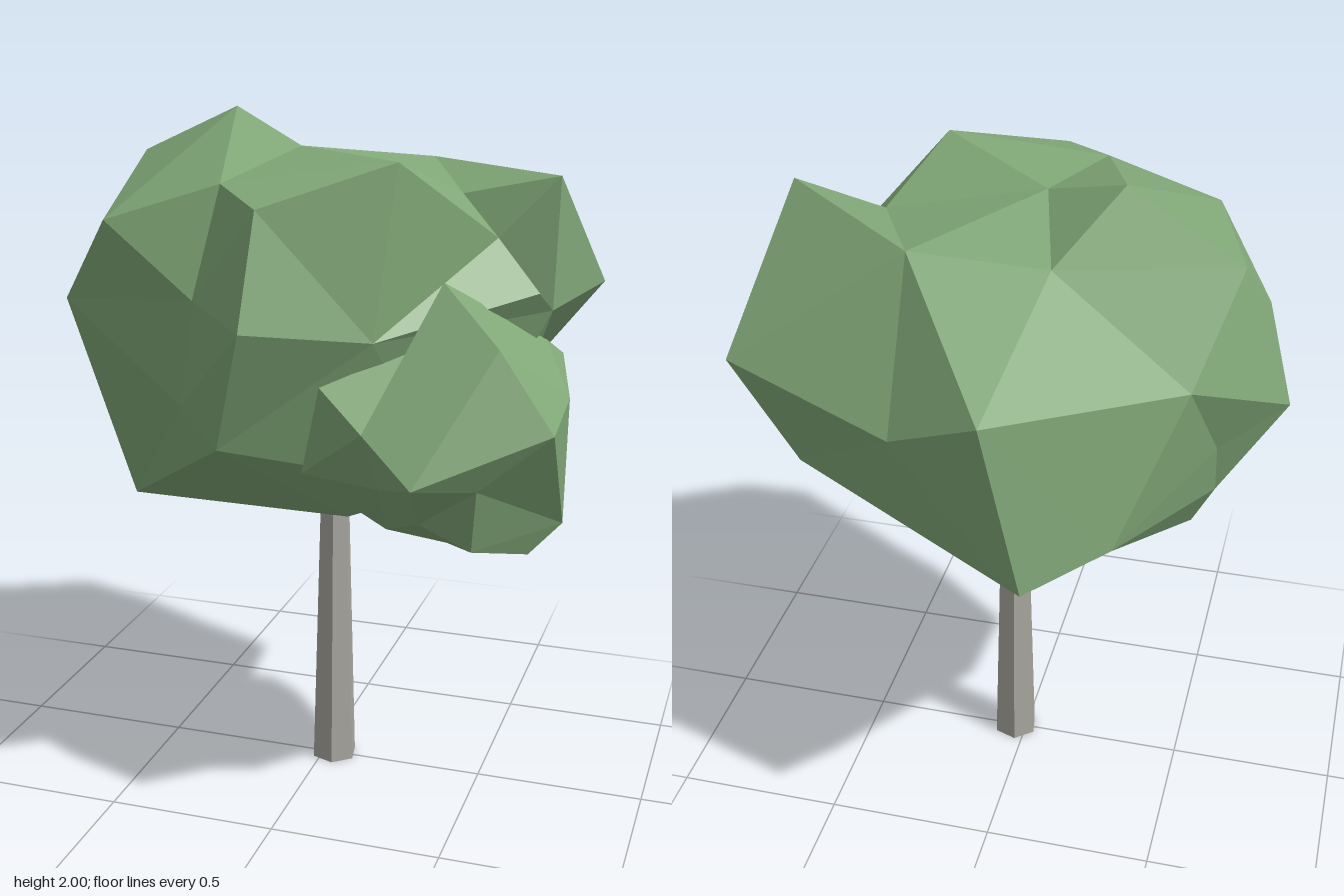
import * as THREE from 'three';
import { ConvexGeometry } from 'three/addons/geometries/ConvexGeometry.js';

// Faceted lump: corners are connected as seen from the centre, so it may have dents.
function lumpGeometry(center, corners) {
  const c = new THREE.Vector3(...center);
  const pts = corners.map(p => new THREE.Vector3(...p));
  const dirs = pts.map(p => p.clone().sub(c).normalize());
  const geo = new ConvexGeometry(dirs);
  const pos = geo.attributes.position;
  const v = new THREE.Vector3();
  for (let i = 0; i < pos.count; i++) {
    v.fromBufferAttribute(pos, i);
    let best = 0;
    dirs.forEach((d, k) => { if (d.dot(v) > dirs[best].dot(v)) best = k; });
    pos.setXYZ(i, pts[best].x, pts[best].y, pts[best].z);
  }
  geo.computeVertexNormals();
  return geo;
}

export function createModel() {
  const tree = new THREE.Group();
  tree.name = 'tree';
  const leaf = new THREE.MeshStandardMaterial({ color: 0x81a878, flatShading: true });
  leaf.name = 'leaf green';
  const bark = new THREE.MeshStandardMaterial({ color: 0xa9a79f, flatShading: true });
  bark.name = 'bark grey';

  const add = (name, geo, mat) => {
    const mesh = new THREE.Mesh(geo, mat);
    mesh.name = name;
    tree.add(mesh);
    return mesh;
  };

  // Tapered six-sided trunk, running up into the crown
  const trunk = add('trunk', new THREE.CylinderGeometry(0.042, 0.0705, 1.0, 6), bark);
  trunk.position.set(0.035, 0.5, 0);
  trunk.rotation.y = Math.PI / 18;

  // Large main crown
  add('mainCrown', lumpGeometry([0, 1.4, 0], [
    // top
    [-0.29, 2.0, -0.08], [-0.05, 1.91, 0.05], [0.32, 1.92, 0.37], [-0.13, 1.82, -0.255],
    [0.25, 1.85, -0.295], [0.42, 1.8, 0.06], [0.69, 1.86, 0.065], [-0.625, 1.85, -0.18],
    // front
    [-0.14, 1.855, 0.45], [0.015, 1.82, 0.615], [0, 1.52, 0.71], [-0.18, 1.565, 0.565],
    [-0.475, 1.745, 0.46], [-0.655, 1.495, 0.34], [-0.235, 1.265, 0.53], [-0.11, 1.17, 0.59],
    [0.27, 1.45, 0.42], [0.53, 1.69, 0.1],
    // sides
    [-0.765, 1.435, -0.13], [-0.63, 1.18, 0.07], [-0.59, 1.34, -0.245], [-0.585, 1.16, -0.17],
    [0.655, 1.55, 0.13], [0.68, 1.49, 0.06], [0.76, 1.495, -0.36], [0.55, 1.225, -0.4],
    // back
    [-0.045, 1.585, -0.69], [0.23, 1.44, -0.575], [-0.16, 1.115, -0.72],
    [-0.535, 1.61, -0.435], [-0.375, 1.21, -0.595],
    // underside
    [-0.49, 0.91, 0.275], [-0.51, 0.96, -0.05], [-0.11, 0.79, -0.105],
    [0.1, 0.83, 0.08], [0.4, 0.95, 0.08],
  ]), leaf);

  // Smaller crown on the front left
  add('sideCrown', lumpGeometry([0.48, 1.18, 0.24], [
    // top
    [0.44, 1.61, 0.345], [0.61, 1.46, 0.425], [0.38, 1.43, 0.3], [0.655, 1.39, -0.01],
    // sides
    [0.14, 1.335, 0.48], [0.76, 1.285, 0.2], [0.76, 1.24, 0.42], [0.68, 1.32, -0.15],
    [0.66, 1.21, -0.17], [0.65, 1.08, -0.13], [0.35, 1.2, -0.1],
    // front
    [0.43, 1.12, 0.62], [0.57, 1.085, 0.47], [0.28, 1.24, 0.56], [0.3, 1.06, 0.46],
    [0.07, 1.07, 0.42],
    // underside
    [0.4, 0.955, 0.41], [0.54, 0.88, 0.38], [0.265, 0.87, 0.25], [0.43, 0.83, 0.2],
    [0.655, 0.805, 0.155], [0.74, 0.89, 0.1], [0.47, 0.88, -0.08], [0.26, 0.94, -0.13],
  ]), leaf);

  return tree;
}
